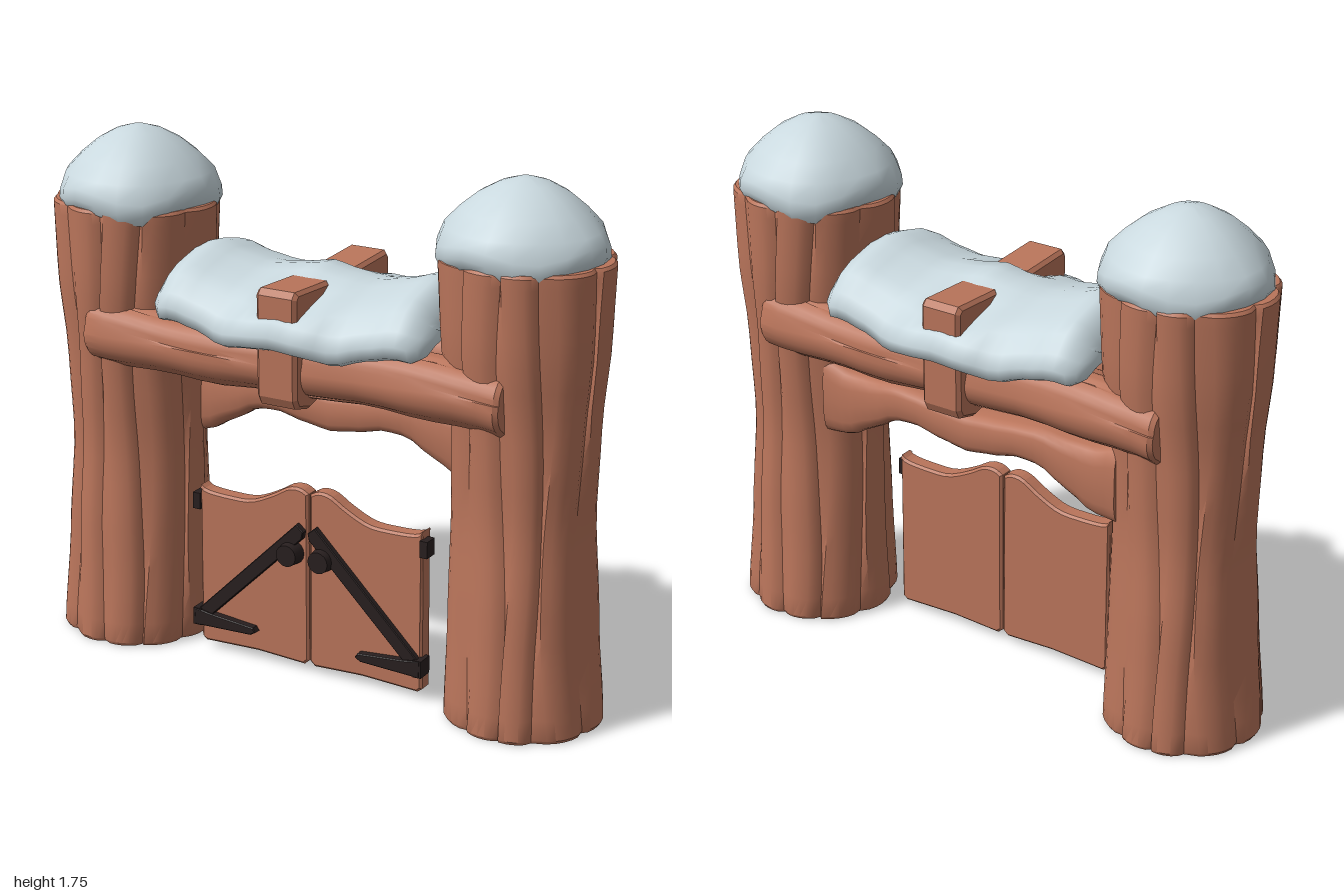
import * as THREE from 'three';
import { toCreasedNormals } from 'three/addons/utils/BufferGeometryUtils.js';

const wood = new THREE.MeshStandardMaterial({ color: 0xba755b });
wood.name = 'wood';
const snow = new THREE.MeshStandardMaterial({ color: 0xc9d8de });
snow.name = 'snow';
const iron = new THREE.MeshStandardMaterial({ color: 0x281f1f });
iron.name = 'iron';

function add(parent, name, geometry, material) {
  const mesh = new THREE.Mesh(geometry, material);
  mesh.name = name;
  parent.add(mesh);
  return mesh;
}

// Smoothly blended lookup in rows of [position, a, b, ...]
function key(rows, p) {
  let i = 0;
  while (i < rows.length - 2 && p > rows[i + 1][0]) i++;
  const a = rows[i], b = rows[i + 1];
  const t = THREE.MathUtils.clamp((p - a[0]) / (b[0] - a[0]), 0, 1);
  const s = 0.5 * t + 0.5 * t * t * (3 - 2 * t);
  return a.slice(1).map((v, k) => v + (b[k + 1] - v) * s);
}

// Closed solid through a list of rings, each with the same number of points
function loft(rings, crease = 0.6) {
  const n = rings[0].length, pos = rings.flat(2), index = [];
  const at = (i, j) => i * n + (j % n);
  for (let i = 0; i < rings.length - 1; i++) {
    for (let j = 0; j < n; j++) {
      index.push(at(i, j), at(i + 1, j), at(i, j + 1), at(i, j + 1), at(i + 1, j), at(i + 1, j + 1));
    }
  }
  for (const end of [0, rings.length - 1]) {
    const c = pos.length / 3;
    for (let k = 0; k < 3; k++) pos.push(rings[end].reduce((s, p) => s + p[k], 0) / n);
    for (let j = 0; j < n; j++) {
      if (end) index.push(at(end, j), c, at(end, j + 1));
      else index.push(at(end, j + 1), c, at(end, j));
    }
  }
  // Turn the faces outward whichever way the rings run
  const v = (k) => new THREE.Vector3().fromArray(pos, index[k] * 3);
  let volume = 0;
  for (let k = 0; k < index.length; k += 3) volume += v(k).dot(v(k + 1).cross(v(k + 2)));
  if (volume < 0) index.reverse();
  const g = new THREE.BufferGeometry();
  g.setAttribute('position', new THREE.Float32BufferAttribute(pos, 3));
  g.setIndex(index);
  return toCreasedNormals(g, crease);
}

const range = (n, f) => Array.from({ length: n }, (_, i) => f(i));

// Angles and radii of a trunk section with rounded ribs and sharp grooves
function ribs(edges, depth, steps = 6) {
  return edges.flatMap((a, i) => {
    const b = i + 1 < edges.length ? edges[i + 1] : edges[0] + Math.PI * 2;
    return range(steps, (k) => [a + (b - a) * k / steps,
      1 - depth * (1 - Math.sqrt(Math.sin(Math.PI * k / steps)))]);
  });
}

// Ribbed gate post, flared at the foot and the head
function post() {
  const rows = [[0, 0.74, 0.264, 0.26], [0.35, 0.73, 0.245, 0.238], [0.7, 0.722, 0.232, 0.217],
    [1.0, 0.724, 0.24, 0.23], [1.27, 0.714, 0.274, 0.258], [1.52, 0.71, 0.284, 0.262]];
  const section = ribs([0.25, 0.95, 1.45, 2.0, 2.75, 3.45, 4.15, 4.7, 5.2, 5.8], 0.075);
  const ys = [0, 0.012, ...range(18, (i) => 0.08 + i * 0.082), 1.51, 1.52];
  return loft(ys.map((y) => {
    const [cx, rx, rz] = key(rows, y);
    const lip = y === 0 || y === 1.52 ? 0.97 : 1;
    return section.map(([a, r], j) => {
      const w = a + 0.07 * Math.sin(y * 4 + Math.floor(j / 6) * 1.7);
      return [cx + Math.cos(w) * r * rx * lip, y, Math.sin(w) * r * rz * lip];
    });
  }));
}

// Soft, slightly peaked and lopsided snow dome
function snowCap() {
  const rows = [[0.215, 1.5], [0.25, 1.495], [0.268, 1.53], [0.265, 1.565], [0.243, 1.61],
    [0.195, 1.66], [0.14, 1.705], [0.08, 1.738], [0.025, 1.755]];
  return loft(rows.map(([r, y]) => range(20, (j) => {
    const a = j / 20 * Math.PI * 2;
    const k = 1 + 0.02 * Math.sin(3 * a + 1) + 0.012 * Math.sin(5 * a);
    const droop = y < 1.6 ? 0.018 * Math.sin(4 * a + 0.6) : 0;
    return [0.7 + Math.cos(a) * r * k, y + droop, Math.sin(a) * r * k];
  })), 1.2);
}

// Rough log lying along x
function beam() {
  const section = ribs([0.3, 1.3, 2.1, 3.2, 4.3, 5.3], 0.06);
  const xs = [-0.755, -0.74, ...range(17, (i) => -0.68 + i * 0.085), 0.74, 0.755];
  return loft(xs.map((x) => {
    const end = Math.abs(x) > 0.75 ? 0.9 : 1;
    const r = (0.097 + 0.01 * Math.abs(x / 0.75) + 0.004 * Math.sin(x * 17)) * end;
    const cy = 1.1 + 0.008 * Math.sin(x * 5);
    return section.map(([a, k], j) => {
      const w = a + 0.1 * Math.sin(x * 6 + Math.floor(j / 6) * 2);
      return [x, cy + Math.sin(w) * r * k, Math.cos(w) * r * k * 0.96];
    });
  }));
}

// Arched brace fixed across the posts
function brace() {
  const rows = [[0, 0.94, 0.8], [0.1, 0.948, 0.815], [0.2, 0.958, 0.838], [0.28, 0.965, 0.832],
    [0.38, 0.955, 0.775], [0.48, 0.955, 0.72], [0.57, 0.985, 0.71]];
  return loft(range(31, (i) => {
    const x = (i - 15) * 0.038;
    const [top, low] = key(rows, Math.abs(x));
    return range(20, (j) => {
      const a = j / 20 * Math.PI * 2, c = Math.cos(a), s = Math.sin(a);
      const y = Math.sign(s) * Math.abs(s) ** 0.55, z = Math.sign(c) * Math.abs(c) ** 0.55;
      return [x, (top + low) / 2 + y * (top - low) / 2, z * 0.08];
    });
  }), 0.7);
}

// Snow blanket sagging over both beams: position, crown, half width, hem
function snowRoof() {
  const rows = [[0, 1.39, 0.352, 1.18], [0.1, 1.372, 0.345, 1.17], [0.2, 1.362, 0.312, 1.15],
    [0.3, 1.38, 0.295, 1.18], [0.4, 1.41, 0.292, 1.2], [0.45, 1.395, 0.285, 1.195],
    [0.485, 1.34, 0.25, 1.21], [0.495, 1.3, 0.2, 1.24]];
  const half = range(13, (i) => i * 0.0375).concat(0.475, 0.487, 0.495);
  const xs = half.slice(1).reverse().map((x) => -x).concat(half);
  return loft(xs.map((x) => {
    const [t, w, b] = key(rows, Math.abs(x));
    const dent = 0.05 * Math.exp(-((x / 0.1) ** 2));
    const h = t - b;
    const side = [[0.2, t - 0.008], [0.38, t - 0.02 - dent], [0.58, t - 0.035 - dent * 1.1],
      [0.76, t - h * 0.3 - dent * 0.9], [0.92, b + h * 0.46], [1, b + h * 0.25], [0.97, b + h * 0.06],
      [0.88, b], [0.74, b + h * 0.2], [0.4, b + h * 0.36]];
    const ring = [[0, t], ...side, [0, b + h * 0.4], ...side.map(([z, y]) => [-z, y]).reverse()];
    return ring.map(([z, y]) => [x, y, z * w]);
  }), 1.1);
}

// Flat outline with a soft edge, centred on its own depth
function slab(points, depth, bevel) {
  const g = new THREE.ExtrudeGeometry(new THREE.Shape(points.map(([x, y]) => new THREE.Vector2(x, y))), {
    depth: depth - 2 * bevel, bevelThickness: bevel, bevelSize: bevel, bevelOffset: -bevel, bevelSegments: 1 });
  return g.translate(0, 0, bevel - depth / 2);
}

export function createModel() {
  const model = new THREE.Group();
  model.name = 'snowyGate';

  // Posts and their snow caps
  for (const [side, turn] of [['left', 0], ['right', Math.PI]]) {
    add(model, side + 'Post', post(), wood).rotation.y = turn;
    add(model, side + 'SnowCap', snowCap(), snow).rotation.y = turn;
  }

  // Twin beams, each held by an upright clamp
  const clampOutline = [[0.08, 1.0], [0.21, 0.97], [0.285, 0.99], [0.3, 1.02],
    [0.302, 1.35], [0.285, 1.37], [0.09, 1.36], [0.07, 1.33]];
  for (const [name, turn] of [['front', 0], ['back', Math.PI]]) {
    const side = new THREE.Group();
    side.name = name + 'BeamGroup';
    side.rotation.y = turn;
    add(side, name + 'Beam', beam(), wood).position.z = 0.175;
    add(side, name + 'Clamp', slab(clampOutline, 0.145, 0.012), wood).rotation.y = -Math.PI / 2;
    model.add(side);
  }
  add(model, 'archedBrace', brace(), wood).position.z = -0.1;
  add(model, 'roofSnow', snowRoof(), snow);

  // Swing doors with iron fittings
  const doorTop = new THREE.SplineCurve([[0.418, 0.585], [0.39, 0.57], [0.3, 0.565], [0.22, 0.57],
    [0.14, 0.605], [0.08, 0.64], [0.035, 0.645], [0.003, 0.63]].map((p) => new THREE.Vector2(...p)));
  for (const [name, s] of [['left', 1], ['right', -1]]) {
    const door = new THREE.Group();
    door.name = name + 'Door';
    door.position.z = 0.07;
    const flip = (points) => points.map(([x, y]) => [x * s, y]);
    const outline = [[0.001, 0.04], [0.02, 0.023], [0.2, 0.031], [0.405, 0.023], [0.422, 0.036],
      ...doorTop.getPoints(20).map((p) => [p.x, p.y])];
    add(door, name + 'DoorPanel', slab(flip(outline), 0.06, 0.008), wood);

    const strap = [[0.375, 0.125], [0.415, 0.15], [0.035, 0.528], [0.008, 0.505], [0.013, 0.48]];
    add(door, name + 'DiagonalStrap', slab(flip(strap), 0.024, 0.003), iron).position.z = 0.041;
    const tongue = [[0.43, 0.09], [0.43, 0.15], [0.37, 0.14], [0.2, 0.125], [0.19, 0.11], [0.21, 0.098]];
    add(door, name + 'HingeStrap', slab(flip(tongue), 0.03, 0.003), iron).position.z = 0.046;

    const knob = add(door, name + 'Knob', new THREE.CylinderGeometry(0.037, 0.043, 0.05, 16), iron);
    knob.rotation.x = Math.PI / 2;
    knob.position.set(0.06 * s, 0.42, 0.052);
    add(door, name + 'UpperHinge', new THREE.BoxGeometry(0.028, 0.057, 0.05), iron)
      .position.set(0.428 * s, 0.53, 0.015);
    add(door, name + 'LowerHinge', new THREE.BoxGeometry(0.03, 0.06, 0.06), iron)
      .position.set(0.42 * s, 0.12, 0.03);
    model.add(door);
  }
  return model;
}
